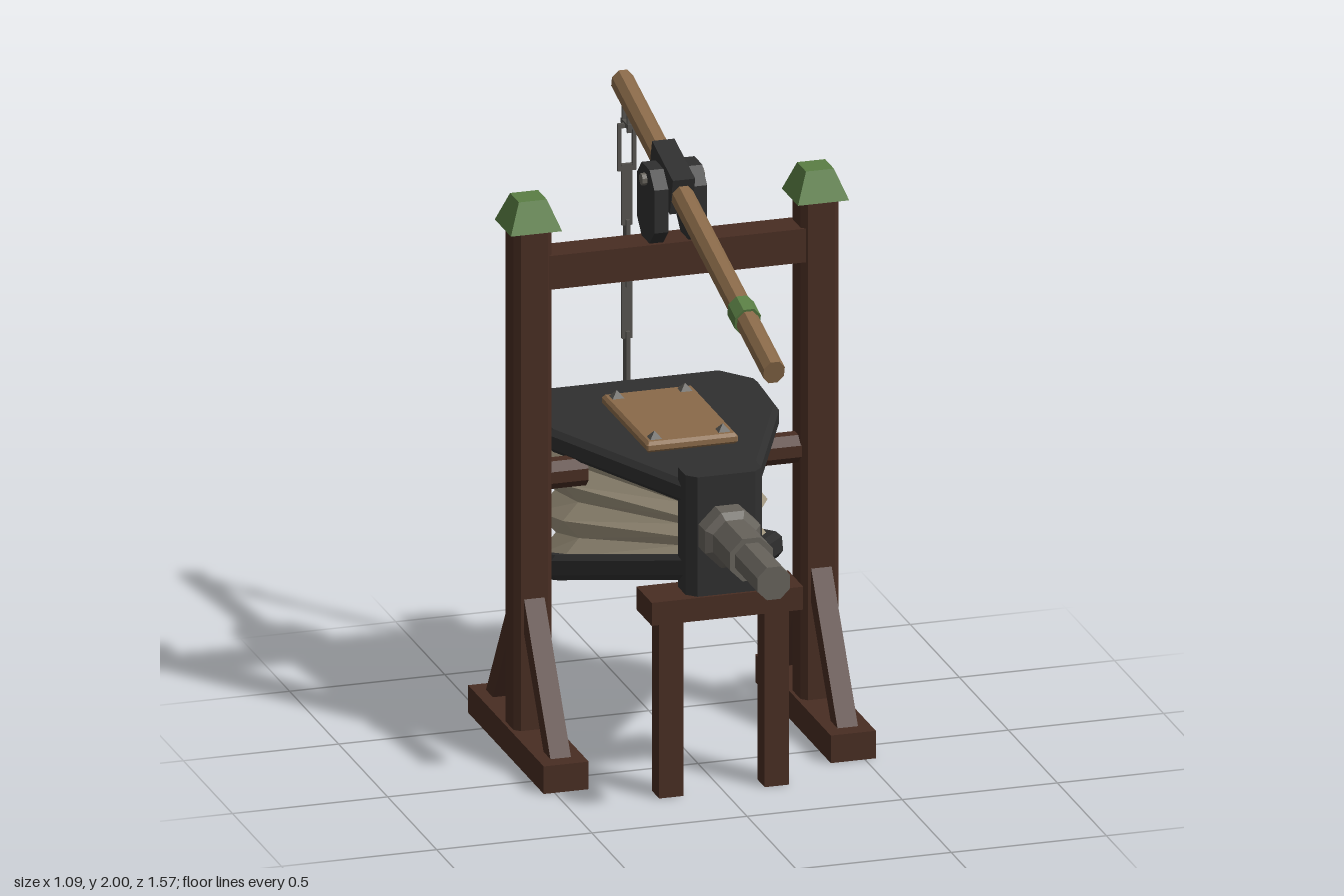
import * as THREE from 'three';

const mat = (name, color) => {
  const m = new THREE.MeshStandardMaterial({ color });
  m.name = name;
  return m;
};

export function createModel() {
  const root = new THREE.Group();
  root.name = 'bellows';
  const wood = mat('dark wood', 0x482d22);
  const pale = mat('pale wood', 0x8a6a49);
  const iron = mat('black iron', 0x2f2f2f);
  const steel = mat('grey steel', 0x66625b);
  const chainMat = mat('chain steel', 0x55534f);
  const canvas = mat('canvas', 0xa69b84);
  const green = mat('green paint', 0x5a7e44);

  // Adds a faceted mesh
  const add = (name, geo, material, x = 0, y = 0, z = 0, parent = root) => {
    const g = geo.index ? geo.toNonIndexed() : geo;
    g.computeVertexNormals();
    const m = new THREE.Mesh(g, material);
    m.name = name;
    m.position.set(x, y, z);
    parent.add(m);
    return m;
  };
  const box = (w, h, d) => new THREE.BoxGeometry(w, h, d);

  // Upright slab from an (x, z) outline, with optional bevelled rims
  const slab = (pts, h, bevel = 0) => {
    const shape = new THREE.Shape(pts.map(([x, z]) => new THREE.Vector2(x, -z)));
    const g = new THREE.ExtrudeGeometry(shape, {
      depth: h - 2 * bevel, bevelEnabled: bevel > 0, bevelSize: bevel,
      bevelThickness: bevel, bevelOffset: -bevel, bevelSegments: 1,
    });
    return g.translate(0, 0, bevel).rotateX(-Math.PI / 2);
  };
  // Rectangle with cut corners
  const cutRect = (w, d, c) => {
    const a = w / 2, b = d / 2;
    return [[a, b - c], [a, -b + c], [a - c, -b], [-a + c, -b],
      [-a, -b + c], [-a, b - c], [-a + c, b], [a - c, b]];
  };
  // Eight-sided bar along z, flats level, given size across flats
  const octBar = (w, len) => {
    const r = w / 2 / Math.cos(Math.PI / 8);
    return new THREE.CylinderGeometry(r, r, len, 8).rotateY(Math.PI / 8).rotateX(Math.PI / 2);
  };
  const mirrored = (half) => [...half, ...half.map(([x, z]) => [-x, z]).reverse()];

  // Side frames
  const PZ = -0.265;
  for (const s of [-1, 1]) {
    const side = new THREE.Group();
    side.name = s > 0 ? 'leftFrame' : 'rightFrame';
    side.position.set(s * 0.4625, 0, PZ);
    root.add(side);
    add('foot', box(0.145, 0.09, 0.77), wood, 0, 0.045, 0, side);
    add('post', slab(cutRect(0.123, 0.12, 0.018), 1.65), wood, 0, 0.08, 0, side);
    add('postCap', new THREE.CylinderGeometry(0.045 * Math.SQRT2, 0.0825 * Math.SQRT2, 0.095, 4)
      .rotateY(Math.PI / 4), green, 0, 1.765, 0, side);
    for (const f of [-1, 1]) {
      const brace = add('brace', box(0.066, 0.56, 0.06), wood, 0, 0.295, f * 0.165, side);
      brace.rotation.x = -f * 0.56;
    }
    // Peg that holds the top board between the posts
    add('sidePeg', octBar(0.09, 0.16).rotateY(Math.PI / 2), wood, -s * 0.1, 0.9, 0, side);
  }
  add('crossbeam', box(0.83, 0.11, 0.11), wood, 0, 1.575, PZ);

  // Lever with its band and pivot
  const lever = new THREE.Group();
  lever.name = 'lever';
  lever.position.set(0, 1.755, 0);
  lever.rotation.x = 0.2646;
  root.add(lever);
  add('leverPole', octBar(0.067, 1.606).scale(1, 1.15, 1), pale, 0, 0, 0, lever);
  add('leverBand', octBar(0.082, 0.075).scale(1, 1.12, 1), green, 0, 0, 0.487, lever);
  add('pivotClamp', box(0.072, 0.125, 0.22), iron, 0, 0, -0.274, lever);
  for (const s of [-1, 1]) {
    add('pivotPlate', slab(cutRect(0.24, 0.18, 0.05), 0.045).rotateZ(Math.PI / 2),
      iron, s * 0.0625 + 0.0225, 1.75, PZ);
  }
  add('pivotPin', octBar(0.036, 0.2).rotateY(Math.PI / 2), steel, 0, 1.828, PZ);

  // Boards of the bellows
  const outline = mirrored([[0.12, 0.225], [0.372, -0.35], [0.386, -0.61], [0.297, -0.722]]);
  const TILT = -0.29, HY = 0.77, HZ = 0.22;
  add('topBoard', slab(outline, 0.075, 0.017), iron, 0, 0.935, 0);
  const lower = new THREE.Group();
  lower.name = 'lowerBoard';
  lower.position.set(0, HY, HZ);
  lower.rotation.x = TILT;
  root.add(lower);
  add('bottomBoard', slab(outline, 0.078, 0.017), iron, 0, -0.078, -HZ, lower);
  const block = add('chainBlock', box(0.112, 0.115, 0.125), iron, 0, 0.447, -0.697);
  block.rotation.x = TILT;

  // Pleated canvas, lofted from the top board to the tilted board
  const ring = mirrored([[0.11, 0.17], [0.33, -0.35], [0.342, -0.585], [0.265, -0.675]]);
  const LEVELS = 7;
  const pleat = (i, k) => {
    const t = k / (LEVELS - 1), inset = k % 2;
    const x = ring[i][0] * (inset ? 0.86 : 1);
    const z = inset ? -0.2 + (ring[i][1] + 0.2) * 0.9 : ring[i][1];
    const low = [HY + (z - HZ) * -Math.sin(TILT) - 0.01, HZ + (z - HZ) * Math.cos(TILT)];
    return [x, 0.945 + (low[0] - 0.945) * t, z + (low[1] - z) * t];
  };
  const verts = [];
  for (let k = 0; k < LEVELS - 1; k++) {
    for (let i = 0; i < ring.length; i++) {
      const j = (i + 1) % ring.length;
      const a = pleat(i, k + 1), b = pleat(j, k + 1), c = pleat(j, k), d = pleat(i, k);
      verts.push(...a, ...b, ...c, ...a, ...c, ...d);
    }
  }
  const folds = new THREE.BufferGeometry();
  folds.setAttribute('position', new THREE.Float32BufferAttribute(verts, 3));
  add('pleats', folds, canvas);

  // Wooden patch and its studs
  add('patch', slab(cutRect(0.294, 0.466, 0.004), 0.036, 0.01), pale, 0, 1.008, -0.287);
  for (const x of [-0.11, 0.11]) {
    for (const z of [-0.48, -0.095]) {
      add('stud', new THREE.ConeGeometry(0.028, 0.024, 4).rotateY(Math.PI / 4), chainMat, x, 1.055, z);
    }
  }

  // Head block and stepped nozzle
  add('headBlock', slab(cutRect(0.246, 0.134, 0.03), 0.395), iron, 0, 0.65, 0.224);
  for (const [w, z0, z1] of [[0.18, 0.28, 0.355], [0.138, 0.35, 0.545], [0.106, 0.54, 0.772]]) {
    add('nozzle', octBar(w, z1 - z0), steel, 0, 0.855, (z0 + z1) / 2);
  }
  const r8 = Math.cos(Math.PI / 8);
  add('nozzleCollar', new THREE.CylinderGeometry(0.069 / r8, 0.09 / r8, 0.018, 8)
    .rotateY(Math.PI / 8).rotateX(Math.PI / 2), steel, 0, 0.855, 0.364);

  // Front trestle
  add('trestleTop', box(0.488, 0.075, 0.156), wood, 0, 0.6175, 0.223);
  for (const s of [-1, 1]) add('trestleLeg', box(0.078, 0.585, 0.076), wood, s * 0.17, 0.2925, 0.228);

  // Chain: hanger, open link, then flat links turned alternately
  const CZ = -0.727;
  for (const s of [-1, 1]) {
    add('hangerArm', box(0.014, 0.11, 0.012), chainMat, 0, 1.875, CZ + s * 0.026);
    add('openLinkSide', box(0.012, 0.15, 0.012), chainMat, s * 0.024, 1.765, CZ);
    add('openLinkEnd', box(0.06, 0.014, 0.012), chainMat, 0, 1.765 + s * 0.07, CZ);
  }
  add('hangerBar', box(0.016, 0.016, 0.074), chainMat, 0, 1.84, CZ);
  const links = [[1.51, 1.71], [1.31, 1.53], [1.14, 1.35], [0.95, 1.165], [0.75, 0.97], [0.585, 0.77], [0.47, 0.61]];
  links.forEach(([y0, y1], i) => {
    const geo = i % 2 ? box(0.012, y1 - y0, 0.036) : box(0.034, y1 - y0, 0.012);
    add('chainLink', geo, chainMat, 0, (y0 + y1) / 2, CZ);
  });

  return root;
}
